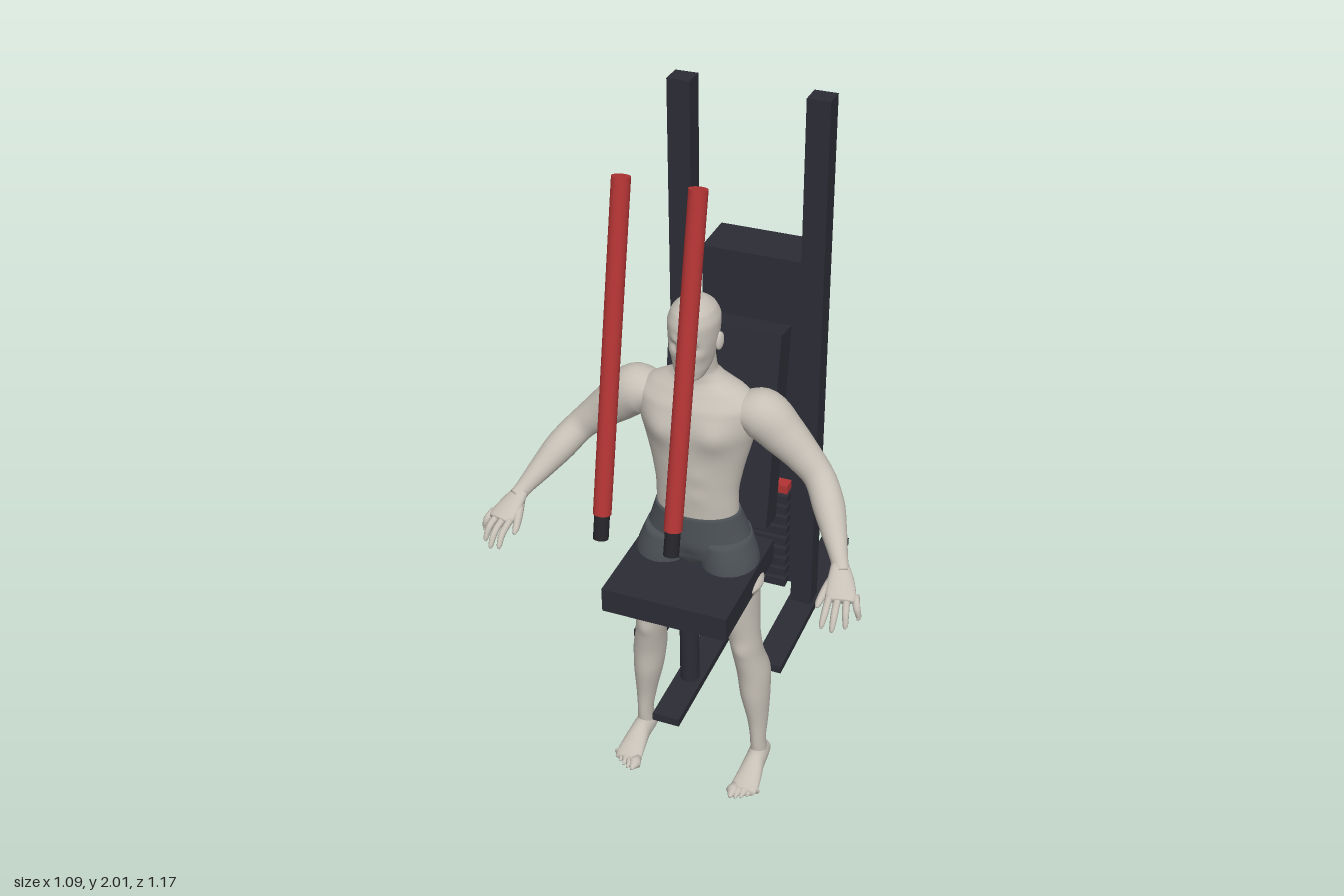
import * as THREE from 'three';

const mat = (name, color) => Object.assign(new THREE.MeshStandardMaterial({ color }), { name });

export function createModel() {
  const root = new THREE.Group();
  root.name = 'exerciseMachineWithFigure';
  const frame = mat('darkFrame', 0x2c2c36);
  const red = mat('red', 0xb23434);
  const grip = mat('gripBlack', 0x24242a);
  const skin = mat('skin', 0xc6c0b6);
  const cloth = mat('shortsGrey', 0x4c5156);

  const add = (name, geo, material, parent) => {
    const m = new THREE.Mesh(geo, material);
    m.name = name;
    parent.add(m);
    return m;
  };

  const machine = new THREE.Group();
  machine.name = 'machine';
  const figure = new THREE.Group();
  figure.name = 'figure';
  root.add(machine, figure);

  // Box from its extents
  const box = (name, x0, x1, y0, y1, z0, z1, material = frame) => {
    const m = add(name, new THREE.BoxGeometry(x1 - x0, y1 - y0, z1 - z0), material, machine);
    m.position.set((x0 + x1) / 2, (y0 + y1) / 2, (z0 + z1) / 2);
    return m;
  };
  // Cylinder between two points
  const rod = (name, p, q, r, material) => {
    const a = new THREE.Vector3(...p), b = new THREE.Vector3(...q);
    const m = add(name, new THREE.CylinderGeometry(r, r, a.distanceTo(b), 24), material, machine);
    m.position.copy(a).lerp(b, 0.5);
    m.quaternion.setFromUnitVectors(new THREE.Vector3(0, 1, 0), b.sub(a).normalize());
  };

  // Frame, seat and weight tower
  for (const s of [-1, 1]) {
    const x = s * 0.1925;
    box('baseRail', x - 0.0425, x + 0.0425, 0.34, 0.365, -0.585, 0.085);
    box('upright', x - 0.0325, x + 0.0325, 0.365, 2, -0.283, -0.22);
    rod('armLever', [s * 0.096, 1.155, 0.547], [s * 0.096, 1.995, 0.362], 0.0235, red);
    rod('leverGrip', [s * 0.096, 1.088, 0.562], [s * 0.096, 1.156, 0.547], 0.02, grip);
  }
  box('frontRail', -0.04, 0.04, 0.34, 0.365, -0.02, 0.4);
  box('weightTower', -0.162, 0.162, 0.362, 1.485, -0.46, -0.308);
  box('seat', -0.182, 0.182, 0.7, 0.775, 0.02, 0.4);
  rod('seatPost', [0, 0.36, 0.215], [0, 0.71, 0.215], 0.028, frame);
  rod('backPost', [0, 0.36, -0.127], [0, 1.1, -0.127], 0.028, frame);
  const back = box('backrest', -0.162, 0.162, 0.801, 1.389, -0.099, -0.015);
  back.rotation.x = -0.163;
  for (let i = 0; i < 9; i++) {
    const y = 0.367 + i * 0.0395;
    box('weightPlate', -0.123, 0.123, y, y + 0.027, -0.31, -0.27);
  }
  box('topPlate', -0.123, 0.123, 0.722, 0.75, -0.31, -0.27, red);

  // Smooth loft through elliptical sections [x, y, z, a, b]; bumps [x, y, z, radius, dx, dy, dz]
  const loft = (name, material, sections, { axis, ref = [0, 0, 1], seg = 20, rows = 5, bumps = [] } = {}) => {
    const path = new THREE.CatmullRomCurve3(sections.map(s => new THREE.Vector3(s[0], s[1], s[2])));
    const size = new THREE.CatmullRomCurve3(sections.map(s => new THREE.Vector3(s[3], s[4], 0)));
    const n = (sections.length - 1) * rows;
    const R = new THREE.Vector3(...ref), pos = [], idx = [];
    for (let i = 0; i <= n; i++) {
      const c = path.getPoint(i / n), r = size.getPoint(i / n);
      const T = axis ? new THREE.Vector3(...axis) : path.getTangent(i / n);
      const U = new THREE.Vector3().crossVectors(R, T).normalize();
      const V = new THREE.Vector3().crossVectors(T, U);
      for (let j = 0; j < seg; j++) {
        const t = j / seg * Math.PI * 2;
        const p = c.clone().addScaledVector(U, r.x * Math.cos(t)).addScaledVector(V, r.y * Math.sin(t));
        const q = p.clone();
        for (const b of bumps) {
          const d2 = (p.x - b[0]) ** 2 + (p.y - b[1]) ** 2 + (p.z - b[2]) ** 2;
          q.addScaledVector(new THREE.Vector3(b[4], b[5], b[6]), Math.exp(-d2 / (b[3] * b[3])));
        }
        pos.push(q.x, q.y, q.z);
        if (i < n) {
          const k = i * seg + j, l = i * seg + (j + 1) % seg;
          idx.push(k, l, k + seg, l, l + seg, k + seg);
        }
      }
    }
    // End caps
    const e = (n + 1) * seg, first = sections[0], last = sections[sections.length - 1];
    pos.push(...first.slice(0, 3), ...last.slice(0, 3));
    for (let j = 0; j < seg; j++) {
      const k = (j + 1) % seg;
      idx.push(e, k, j, e + 1, n * seg + j, n * seg + k);
    }
    const g = new THREE.BufferGeometry();
    g.setAttribute('position', new THREE.Float32BufferAttribute(pos, 3));
    g.setIndex(idx);
    g.computeVertexNormals();
    return add(name, g, material, figure);
  };
  const up = [0, 1, 0];
  const both = list => list.flatMap(b => [b, [-b[0], b[1], b[2], b[3], -b[4], b[5], b[6]]]);

  // Torso and neck, with chest, blades and spine groove
  loft('torso', skin, [
    [0, 0.93, 0.14, 0.118, 0.076], [0, 1.0, 0.143, 0.118, 0.077], [0, 1.08, 0.137, 0.13, 0.087],
    [0, 1.16, 0.132, 0.15, 0.096], [0, 1.23, 0.132, 0.168, 0.097], [0, 1.285, 0.132, 0.172, 0.088],
    [0, 1.325, 0.13, 0.135, 0.068], [0, 1.352, 0.13, 0.08, 0.056], [0, 1.38, 0.137, 0.054, 0.05],
    [0, 1.43, 0.145, 0.05, 0.05],
  ], {
    axis: up, seg: 48, rows: 6, bumps: [
      ...both([[0.075, 1.215, 0.21, 0.05, 0, 0, 0.018], [0.08, 1.23, 0.05, 0.05, 0, 0, -0.014],
        [0.03, 1.08, 0.22, 0.025, 0, 0, 0.004], [0.03, 1.01, 0.22, 0.025, 0, 0, 0.004]]),
      [0, 1.15, 0.035, 0.035, 0, 0, 0.008], [0, 1.05, 0.05, 0.03, 0, 0, 0.008],
    ],
  });

  // Head with face relief
  loft('head', skin, [
    [0, 1.374, 0.195, 0.02, 0.024], [0, 1.384, 0.186, 0.037, 0.045], [0, 1.41, 0.17, 0.05, 0.064],
    [0, 1.45, 0.161, 0.059, 0.076], [0, 1.49, 0.158, 0.065, 0.084], [0, 1.53, 0.156, 0.067, 0.086],
    [0, 1.565, 0.158, 0.056, 0.071], [0, 1.586, 0.16, 0.034, 0.044], [0, 1.595, 0.16, 0.006, 0.008],
  ], {
    axis: up, seg: 56, rows: 7, bumps: [
      [0, 1.452, 0.237, 0.014, 0, 0, 0.026], [0, 1.474, 0.24, 0.011, 0, 0, 0.012],
      [0, 1.418, 0.234, 0.016, 0, 0, 0.008], [0, 1.388, 0.228, 0.016, 0, 0, 0.007],
      ...both([[0.025, 1.484, 0.233, 0.014, 0, 0, -0.012], [0.025, 1.503, 0.236, 0.013, 0, 0, 0.005],
        [0.04, 1.46, 0.21, 0.017, 0.002, 0, 0.004]]),
    ],
  });

  // Hips of the shorts
  loft('shortsHips', cloth, [
    [0, 0.77, 0.14, 0.1, 0.06], [0, 0.8, 0.132, 0.14, 0.088], [0, 0.84, 0.129, 0.152, 0.096],
    [0, 0.89, 0.132, 0.138, 0.091], [0, 0.94, 0.14, 0.122, 0.08],
  ], { axis: up, seg: 40, bumps: [[0, 0.82, 0.035, 0.03, 0, 0, 0.012], [0, 0.8, 0.225, 0.03, 0, 0, -0.01]] });

  for (const s of [-1, 1]) {
    const m = list => list.map(([x, ...rest]) => [s * x, ...rest]);

    const ear = add('ear', new THREE.SphereGeometry(1, 16, 12), skin, figure);
    ear.scale.set(0.008, 0.025, 0.015);
    ear.position.set(s * 0.067, 1.474, 0.15);
    ear.rotation.set(-0.2, s * -0.35, 0);

    loft('shortsLeg', cloth, m([[0.1, 0.715, 0.148, 0.082, 0.088], [0.095, 0.78, 0.142, 0.083, 0.092],
      [0.08, 0.86, 0.135, 0.07, 0.085]]), { axis: up, seg: 28 });

    loft('leg', skin, m([
      [0.185, 0.04, 0.118, 0.026, 0.034], [0.184, 0.1, 0.128, 0.023, 0.03], [0.18, 0.18, 0.122, 0.03, 0.04],
      [0.17, 0.29, 0.122, 0.044, 0.057], [0.164, 0.37, 0.122, 0.048, 0.062], [0.152, 0.45, 0.14, 0.044, 0.057],
      [0.143, 0.52, 0.148, 0.046, 0.056], [0.126, 0.6, 0.147, 0.06, 0.071],
      [0.107, 0.7, 0.15, 0.077, 0.083], [0.1, 0.74, 0.15, 0.077, 0.083],
    ]), { axis: up, seg: 28, bumps: [[s * 0.148, 0.485, 0.2, 0.025, 0, 0, 0.006]] });

    // Foot and toes
    loft('foot', skin, m([
      [0.184, 0.024, 0.072, 0.014, 0.014], [0.184, 0.033, 0.085, 0.026, 0.03], [0.185, 0.038, 0.12, 0.03, 0.037],
      [0.187, 0.037, 0.165, 0.031, 0.036], [0.188, 0.026, 0.21, 0.037, 0.025],
      [0.188, 0.017, 0.25, 0.041, 0.016], [0.188, 0.013, 0.272, 0.037, 0.012],
    ]), { axis: [0, 0, 1], ref: up });
    for (let i = 0; i < 5; i++) {
      const x = 0.159 + i * 0.0155, z = 0.304 - i * i * 0.0024, r = i ? 0.0075 : 0.011;
      loft('toe', skin, m([[x, 0.014, 0.25, r, r], [x, 0.012, z - 0.012, r, r], [x, 0.01, z, r * 0.4, r * 0.4]]),
        { axis: [0, 0, 1], ref: up, seg: 10, rows: 3 });
    }

    // Arm from shoulder to wrist
    loft('arm', skin, m([
      [0.12, 1.275, 0.128, 0.045, 0.055], [0.18, 1.262, 0.126, 0.07, 0.068], [0.235, 1.215, 0.125, 0.062, 0.06],
      [0.295, 1.162, 0.13, 0.05, 0.047], [0.345, 1.115, 0.143, 0.043, 0.041], [0.385, 1.068, 0.185, 0.043, 0.044],
      [0.425, 1.015, 0.245, 0.033, 0.033], [0.457, 0.972, 0.297, 0.023, 0.021], [0.466, 0.957, 0.315, 0.023, 0.019],
    ]), { seg: 24 });

    // Hand, four fingers and thumb
    loft('palm', skin, m([
      [0.457, 0.972, 0.297, 0.022, 0.018], [0.471, 0.948, 0.33, 0.034, 0.017],
      [0.484, 0.926, 0.368, 0.04, 0.014], [0.488, 0.918, 0.385, 0.035, 0.011],
    ]), { ref: up });
    const tips = [[0.46, 0.873, 0.452], [0.487, 0.866, 0.45], [0.515, 0.866, 0.425], [0.538, 0.87, 0.385]];
    tips.forEach(([x, y, z], i) => {
      const bx = 0.457 + i * 0.021, bz = 0.388 - i * 0.008;
      loft('finger', skin, m([
        [bx, 0.923, bz - 0.012, 0.01, 0.01], [(bx + x) / 2 + 0.002, 0.905, (bz + z) / 2 + 0.004, 0.0095, 0.0095],
        [x, y + 0.008, z - 0.005, 0.007, 0.007], [x, y, z, 0.003, 0.003],
      ]), { ref: [1, 0, 0], seg: 10, rows: 4 });
    });
    loft('thumb', skin, m([
      [0.455, 0.95, 0.32, 0.014, 0.014], [0.442, 0.928, 0.36, 0.012, 0.012],
      [0.434, 0.907, 0.396, 0.009, 0.009], [0.433, 0.9, 0.408, 0.004, 0.004],
    ]), { ref: [1, 0, 0], seg: 10, rows: 4 });
  }
  return root;
}
